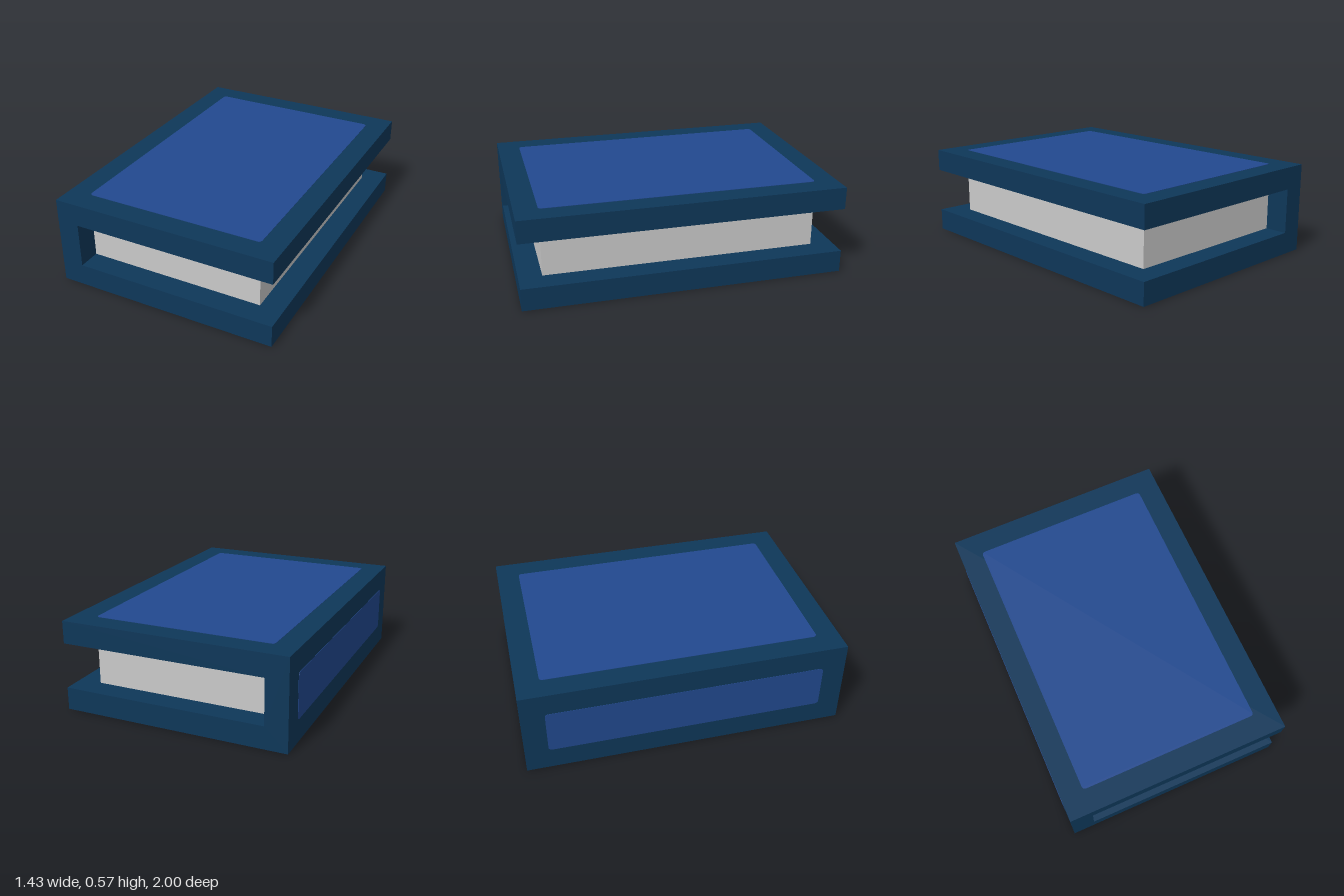
import * as THREE from 'three';

const W = 0.714, L = 1, H = 0.571;   // half width, half length, height
const T = 0.143;                     // cover thickness and panel margin
const P = 0.002;                     // how far the inlaid panels stand proud

const coverNavy = new THREE.MeshStandardMaterial({ color: 0x0e3759 });
coverNavy.name = 'coverNavy';
const panelBlue = new THREE.MeshStandardMaterial({ color: 0x22498f });
panelBlue.name = 'panelBlue';
const pageGrey = new THREE.MeshStandardMaterial({ color: 0xcacaca });
pageGrey.name = 'pageGrey';

function addMesh(parent, name, geometry, material) {
  const mesh = new THREE.Mesh(geometry, material);
  mesh.name = name;
  parent.add(mesh);
  return mesh;
}

// Thin plate with rounded corners, facing +z from z = 0
function panelGeometry(w, h, r = 0.022) {
  const x = w / 2, y = h / 2;
  const s = new THREE.Shape();
  s.moveTo(-x + r, -y);
  s.lineTo(x - r, -y);
  s.absarc(x - r, -y + r, r, -Math.PI / 2, 0);
  s.absarc(x - r, y - r, r, 0, Math.PI / 2);
  s.absarc(-x + r, y - r, r, Math.PI / 2, Math.PI);
  s.absarc(-x + r, -y + r, r, Math.PI, Math.PI * 1.5);
  return new THREE.ExtrudeGeometry(s, { depth: P, bevelEnabled: false, curveSegments: 4 });
}

export function createModel() {
  const book = new THREE.Group();
  book.name = 'book';

  // Both covers and the spine as one C-shaped section
  const left = -W + P, bottom = P, top = H - P;
  const section = new THREE.Shape([
    [left, bottom], [W, bottom], [W, T], [-W + T, T],
    [-W + T, H - T], [W, H - T], [W, top], [left, top],
  ].map(([x, y]) => new THREE.Vector2(x, y)));
  const cover = new THREE.ExtrudeGeometry(section, { depth: 2 * L, bevelEnabled: false });
  cover.translate(0, 0, -L);
  addMesh(book, 'coverAndSpine', cover, coverNavy);

  // Page block, set in from the three open edges
  const pages = addMesh(book, 'pages',
    new THREE.BoxGeometry(2 * (W - T), H - 2 * T, 2 * (L - T)), pageGrey);
  pages.position.y = H / 2;

  // Inlaid panels on the top cover, bottom cover and spine
  const face = panelGeometry(2 * (W - T), 2 * (L - T));
  const topPanel = addMesh(book, 'topPanel', face, panelBlue);
  topPanel.rotation.x = -Math.PI / 2;
  topPanel.position.y = top;

  const bottomPanel = addMesh(book, 'bottomPanel', face, panelBlue);
  bottomPanel.rotation.x = Math.PI / 2;
  bottomPanel.position.y = bottom;

  const spinePanel = addMesh(book, 'spinePanel',
    panelGeometry(2 * (L - T), H - 2 * T), panelBlue);
  spinePanel.rotation.y = -Math.PI / 2;
  spinePanel.position.set(left, H / 2, 0);

  return book;
}
